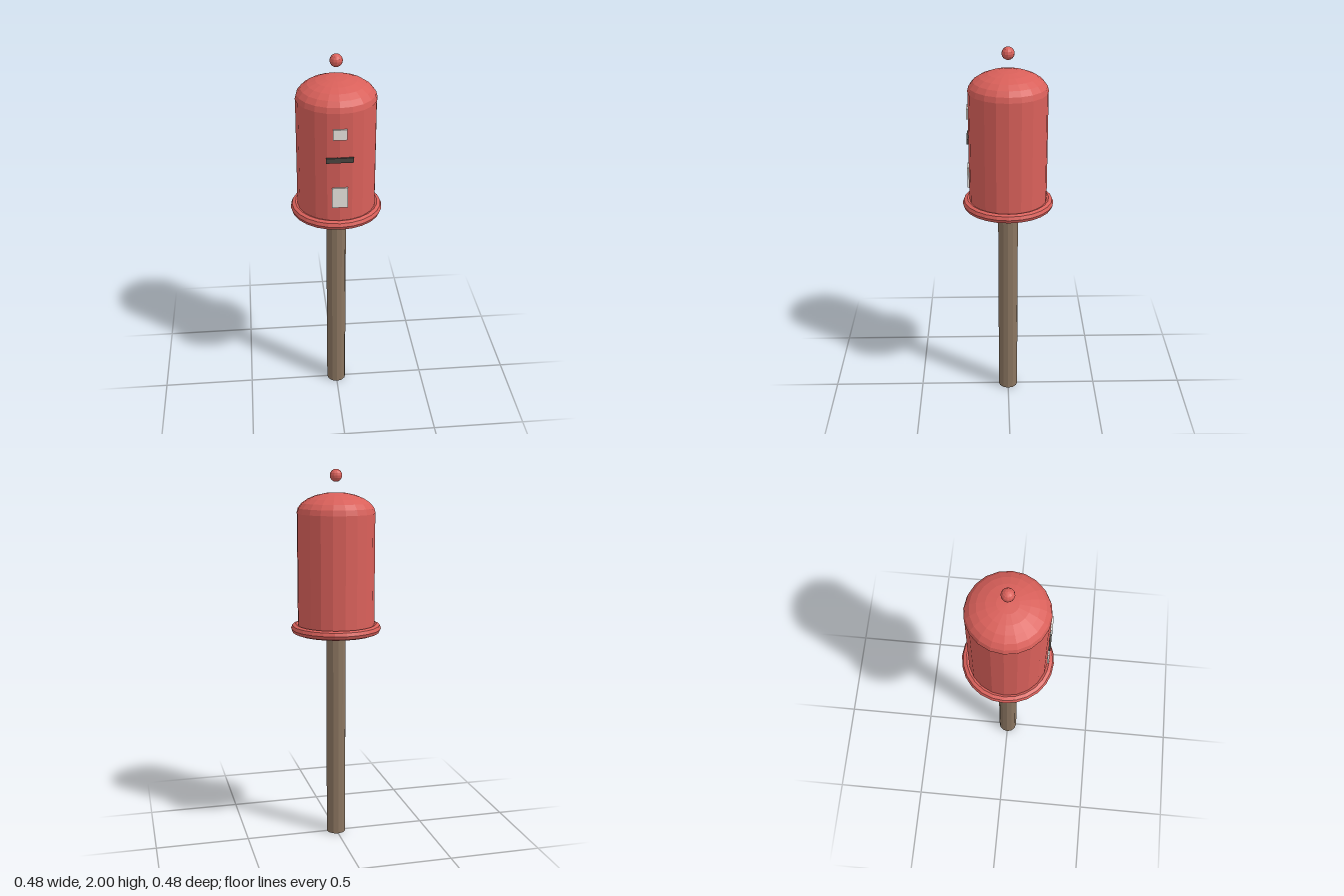
import * as THREE from 'three';

const material = (color) => new THREE.MeshStandardMaterial({ color, flatShading: true });

export function createModel() {
  const model = new THREE.Group();
  model.name = 'postBox';
  const red = material(0xd9605a);
  const wood = material(0x8a7560);
  const white = material(0xe8e4de);
  const dark = material(0x4a4540);

  const add = (name, geometry, mat, y, z = 0) => {
    const mesh = new THREE.Mesh(geometry, mat);
    mesh.name = name;
    mesh.position.set(0, y, z);
    model.add(mesh);
    return mesh;
  };

  // Wooden pole
  add('pole', new THREE.CylinderGeometry(0.053, 0.053, 1.14, 12), wood, 0.57);

  // Round box with a flattened dome roof
  add('body', new THREE.CylinderGeometry(0.205, 0.205, 0.635, 20), red, 1.4575);
  const dome = new THREE.SphereGeometry(0.207, 20, 6, 0, Math.PI * 2, 0, Math.PI / 2);
  dome.scale(1, 0.52, 1);
  add('domeRoof', dome, red, 1.773);

  // Rounded rim around the foot of the box
  const rim = new THREE.TorusGeometry(0.216, 0.025, 8, 24);
  rim.rotateX(Math.PI / 2);
  add('baseRim', rim, red, 1.165);

  // Ball above the roof
  add('finial', new THREE.SphereGeometry(0.033, 12, 8), red, 1.967);

  // Thin plates and slot on the front
  const frontParts = [
    ['upperPlate', 0.07, 0.054, 1.665, white],
    ['slot', 0.138, 0.026, 1.528, dark],
    ['lowerPlate', 0.08, 0.11, 1.32, white],
  ];
  for (const [name, width, height, y, mat] of frontParts) {
    add(name, new THREE.BoxGeometry(width, height, 0.01), mat, y, 0.208);
  }

  return model;
}
